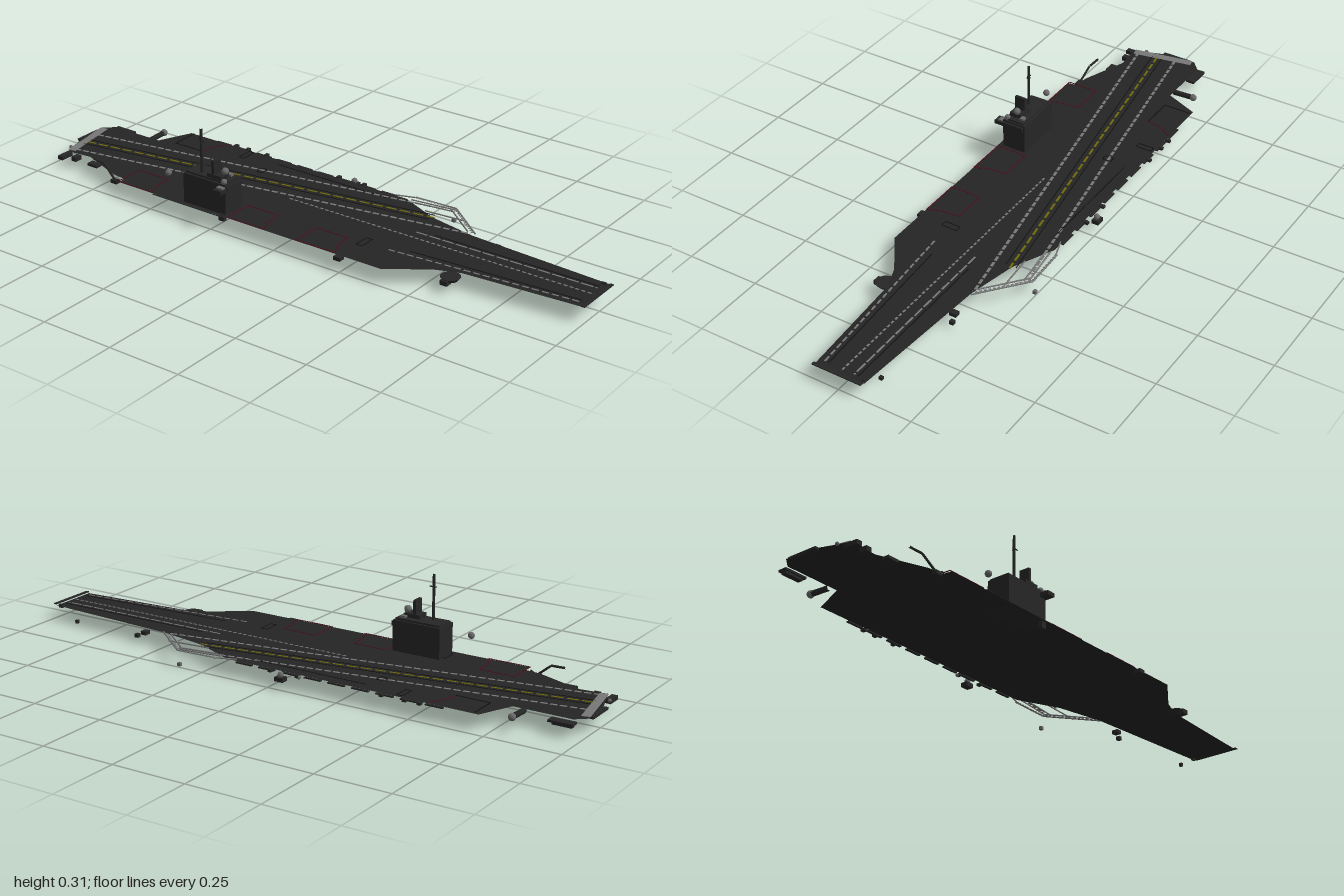
import * as THREE from 'three';
import { mergeGeometries } from 'three/addons/utils/BufferGeometryUtils.js';

const material = (name, color, side = THREE.FrontSide) => {
  const m = new THREE.MeshStandardMaterial({ color, side });
  m.name = name;
  return m;
};

export function createModel() {
  const root = new THREE.Group();
  root.name = 'flatDeckShip';
  const deckGrey = material('deck dark grey', 0x242424, THREE.DoubleSide);
  const steel = material('structure charcoal', 0x262626);
  const black = material('seam black', 0x101010);
  const paint = material('marking grey', 0x777777);
  const yellow = material('centreline yellow', 0x6e6808);
  const red = material('elevator red', 0x4a0d1c);
  const dome = material('dome grey', 0x686868);
  const DECK = 0.05, MARK = 0.0522;

  const add = (name, geo, mat, parent = root) => {
    const mesh = new THREE.Mesh(geo, mat);
    mesh.name = name;
    parent.add(mesh);
    return mesh;
  };
  // Box given by its limits on each axis
  const boxGeo = (x0, x1, y0, y1, z0, z1) => new THREE.BoxGeometry(x1 - x0, y1 - y0, z1 - z0)
    .translate((x0 + x1) / 2, (y0 + y1) / 2, (z0 + z1) / 2);
  const box = (name, limits, mat = steel, parent = root) => add(name, boxGeo(...limits), mat, parent);
  const ball = (name, x, y, z, r, mat = dome, parent = root) =>
    add(name, new THREE.SphereGeometry(r, 20, 14).translate(x, y, z), mat, parent);
  // Round bar between two points
  const barGeo = (a, b, r) => new THREE.TubeGeometry(
    new THREE.LineCurve3(new THREE.Vector3(...a), new THREE.Vector3(...b)), 1, r, 6);
  const bars = (name, list, r, mat, parent = root) =>
    add(name, mergeGeometries(list.map(([a, b]) => barGeo(a, b, r))), mat, parent);
  // Thin flat strips along a deck line, optionally dashed
  const stripGeos = ([x0, z0], [x1, z1], w, dash = 0, gap = 0, y = MARK) => {
    const dx = x1 - x0, dz = z1 - z0, len = Math.hypot(dx, dz), out = [];
    const d = dash || len;
    for (let s = 0; s < len - 1e-6; s += d + gap) {
      const l = Math.min(d, len - s), t = (s + l / 2) / len;
      out.push(new THREE.BoxGeometry(l, 0.001, w)
        .rotateY(-Math.atan2(dz, dx)).translate(x0 + dx * t, y, z0 + dz * t));
    }
    return out;
  };
  const stripe = (name, a, b, w, mat, dash, gap, y) =>
    add(name, mergeGeometries(stripGeos(a, b, w, dash, gap, y)), mat);
  const outline = (name, pts, w, mat) => add(name, mergeGeometries(
    pts.slice(1).flatMap((p, i) => stripGeos(pts[i], p, w))), mat);

  // Flight deck: one thin sheet
  const edge = [
    [-0.995, -0.07], [-0.96, -0.1], [-0.765, -0.1], [-0.715, -0.215], [0.18, -0.215],
    [0.32, -0.15], [0.49, -0.115], [0.985, -0.082], [0.985, 0.088], [0.6, 0.115],
    [0.52, 0.145], [0.39, 0.235], [-0.645, 0.235], [-0.65, 0.205], [-0.7, 0.2],
    [-0.86, 0.14], [-0.95, 0.15], [-0.985, 0.05]];
  const shape = new THREE.Shape(edge.map(([x, z]) => new THREE.Vector2(x, -z)));
  add('flightDeck', new THREE.ShapeGeometry(shape).rotateX(-Math.PI / 2).translate(0, DECK, 0), deckGrey);

  // Angled landing lane
  stripe('laneEdgePort', [-0.96, -0.01], [0.32, -0.218], 0.009, paint, 0.022, 0.008);
  stripe('laneEdgeStarboard', [-0.94, 0.125], [0.48, -0.118], 0.009, paint, 0.022, 0.008);
  stripe('laneCentre', [-0.95, 0.055], [0.33, -0.148], 0.007, yellow, 0.035, 0.012);
  for (const o of [-0.018, 0.018])
    stripe('laneSeam', [-0.95, 0.055 + o], [0.32, -0.146 + o], 0.003, black);

  // Bow catapult tracks
  stripe('bowTrackCentre', [-0.12, 0.008], [0.98, 0.004], 0.006, paint, 0.012, 0.008);
  stripe('bowTrackPort', [0.34, -0.03], [0.97, -0.036], 0.006, paint, 0.04, 0.008);
  stripe('bowTrackStarboard', [0.34, 0.12], [0.97, 0.068], 0.006, paint, 0.022, 0.01);
  stripe('bowTrackSeamPort', [0.4, -0.045], [0.97, -0.05], 0.003, black);
  stripe('bowTrackSeamStarboard', [0.4, 0.09], [0.97, 0.055], 0.003, black);

  // Stern round-down and bow lip
  stripe('sternRamp', [-0.982, -0.065], [-0.943, 0.14], 0.028, paint);
  box('bowLip', [0.988, 1, 0.052, 0.055, -0.08, 0.092]);

  // Deck-edge elevators
  for (const x of [-0.65, -0.195, 0.075])
    outline('elevatorOutline', [[x, 0.233], [x, 0.127], [x + 0.12, 0.127],
      [x + 0.125, 0.19], [x + 0.145, 0.233], [x, 0.233]], 0.004, red);
  outline('portElevatorSeam', [[-0.7, -0.212], [-0.7, -0.115], [-0.585, -0.115]], 0.004, black);
  outline('portElevatorMark', [[-0.585, -0.115], [-0.575, -0.165], [-0.545, -0.213]], 0.004, red);
  for (const [x, z, w, d] of [[-0.445, -0.18, 0.02, 0.055], [-0.325, -0.11, 0.02, 0.03],
    [0.25, 0.12, 0.022, 0.055], [-0.38, 0.185, 0.02, 0.05]])
    outline('hatchSeam', [[x - w / 2, z - d / 2], [x + w / 2, z - d / 2], [x + w / 2, z + d / 2],
      [x - w / 2, z + d / 2], [x - w / 2, z - d / 2]], 0.003, black);
  stripe('portSeam', [-0.31, -0.18], [0.13, -0.18], 0.003, black);

  // Open angled-deck catwalk overhanging the port side
  const Y = 0.054;
  bars('portCatwalkFrame', [
    [[0.14, Y, -0.212], [0.21, Y, -0.236]], [[0.21, Y, -0.236], [0.35, Y, -0.242]],
    [[0.35, Y, -0.242], [0.5, Y, -0.12]], [[0.34, Y, -0.228], [0.47, Y, -0.122]],
    [[0.2, Y, -0.212], [0.36, Y, -0.232]], [[0.22, Y, -0.2], [0.36, Y, -0.218]],
    [[0.28, Y, -0.17], [0.43, Y, -0.182]]], 0.0025, paint);
  stripe('portCatwalkTread', [0.2, -0.235], [0.35, -0.241], 0.01, paint, 0.008, 0.006, Y);
  stripe('portCatwalkTread', [0.35, -0.238], [0.49, -0.122], 0.01, paint, 0.008, 0.006, Y);

  // Edge walkways along both sides
  for (let i = 0; i < 9; i++)
    box('portWalkway', [-0.6 + i * 0.085, -0.54 + i * 0.085, 0.045, 0.049, -0.222, -0.213]);
  for (const x of [-0.53, -0.4, -0.1, 0, -0.48])
    box('portLocker', [x, x + 0.012, 0.044, 0.052, -0.232, -0.216]);
  stripe('starboardWalkway', [-0.5, 0.236], [-0.2, 0.236], 0.006, steel, 0, 0, 0.048);

  // Island tower
  const island = new THREE.Group();
  island.name = 'island';
  root.add(island);
  const part = (name, limits, mat = steel) => box(name, limits, mat, island);
  part('islandBlock', [-0.38, -0.21, DECK, 0.152, 0.14, 0.222]);
  part('islandRoof', [-0.375, -0.215, 0.152, 0.158, 0.147, 0.215]);
  part('bridgeWing', [-0.235, -0.205, 0.13, 0.143, 0.205, 0.252]);
  part('bridgeFront', [-0.23, -0.203, 0.132, 0.146, 0.145, 0.22]);
  part('radarBase', [-0.29, -0.235, 0.158, 0.171, 0.17, 0.212]);
  part('radarPanel', [-0.274, -0.264, 0.17, 0.217, 0.173, 0.21]);
  part('sidePlatform', [-0.245, -0.228, 0.158, 0.165, 0.155, 0.17], dome);
  part('sideSupport', [-0.235, -0.215, 0.028, 0.052, 0.213, 0.228]);
  part('wingRail', [-0.232, -0.208, 0.143, 0.148, 0.225, 0.24], dome);
  bars('mast', [[[-0.325, 0.15, 0.195], [-0.325, 0.308, 0.195]]], 0.0045, steel, island);
  bars('mastYard', [[[-0.335, 0.265, 0.195], [-0.31, 0.265, 0.195]],
    [[-0.325, 0.262, 0.188], [-0.325, 0.262, 0.202]]], 0.002, steel, island);
  ball('towerDome', -0.238, 0.181, 0.186, 0.012, dome, island);
  ball('bridgeDome', -0.222, 0.158, 0.212, 0.01, dome, island);
  add('domePost', new THREE.CylinderGeometry(0.006, 0.006, 0.02, 10).translate(-0.238, 0.164, 0.186), steel, island);
  ball('aftDome', -0.455, 0.126, 0.207, 0.011);

  // Starboard boat crane
  bars('boatCrane', [[[-0.785, 0.084, 0.2], [-0.735, 0.081, 0.204]],
    [[-0.735, 0.081, 0.204], [-0.685, 0.04, 0.212]],
    [[-0.685, 0.035, 0.213], [-0.66, 0.048, 0.214]]], 0.004, steel);
  box('craneFoot', [-0.695, -0.67, 0.03, 0.042, 0.205, 0.222]);

  // Outboard domes with arms
  ball('portQuarterDome', -0.8, 0.046, -0.17, 0.012);
  bars('portQuarterArm', [[[-0.8, 0.043, -0.095], [-0.8, 0.046, -0.165]]], 0.009, steel);
  ball('portWaistDome', -0.04, 0.046, -0.236, 0.01);
  ball('portWaistSmallDome', -0.1, 0.046, -0.226, 0.006);
  ball('sternDome', -0.975, 0.046, 0.11, 0.006);

  // Weapon and sensor platforms around the hull line
  const platforms = [
    [-0.97, -0.89, 0.036, 0.043, -0.125, -0.095], [-0.965, -0.9, 0.028, 0.036, -0.118, -0.1],
    [-0.92, -0.9, 0.03, 0.045, 0.14, 0.168], [-0.97, -0.95, 0.027, 0.04, 0.13, 0.18],
    [-0.84, -0.8, 0.036, 0.045, 0.15, 0.175], [-0.055, -0.025, 0.026, 0.04, -0.249, -0.225],
    [0.57, 0.59, 0.03, 0.042, -0.125, -0.102], [0.598, 0.612, 0.018, 0.03, -0.13, -0.116],
    [0.225, 0.25, 0.036, 0.048, 0.225, 0.248], [0.963, 0.978, 0.043, 0.055, -0.078, -0.07],
    [0.895, 0.905, 0.001, 0.012, -0.083, -0.072]];
  platforms.forEach(p => box('edgePlatform', p));
  box('portFender', [0.335, 0.347, 0.004, 0.015, -0.25, -0.239], dome);
  add('bowSponson', new THREE.CylinderGeometry(0.032, 0.022, 0.012, 16)
    .translate(0.575, 0.036, 0.138), steel);
  box('bowSponsonMount', [0.56, 0.585, 0.025, 0.04, 0.15, 0.175]);

  // Stern ledge
  box('sternLedge', [-1, -0.985, 0.042, 0.049, -0.05, 0.05]);
  return root;
}
